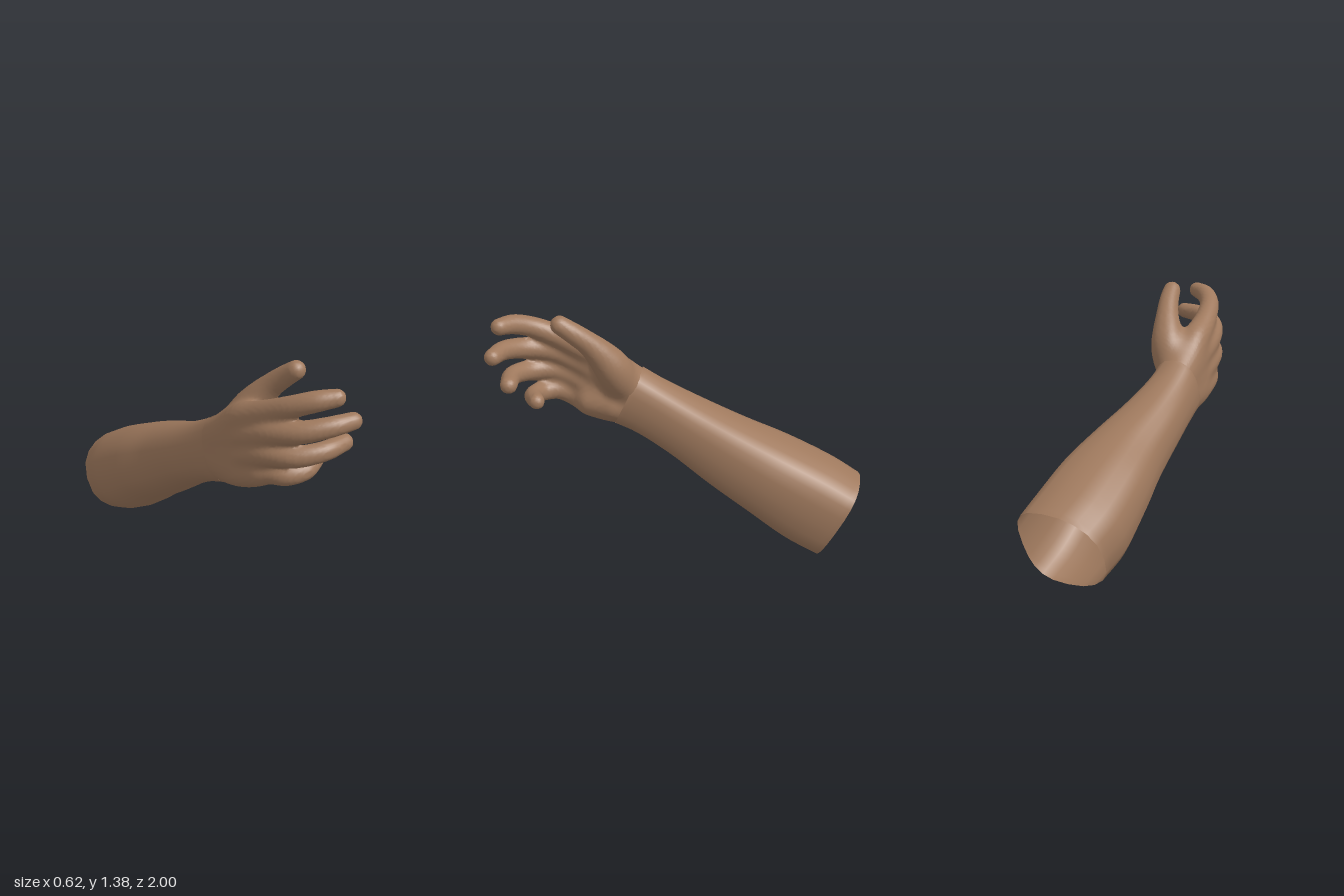
import * as THREE from 'three';

const V = (x, y, z) => new THREE.Vector3(x, y, z);

// Open tube through sections [topZ, topY, bottomZ, bottomY, xMin, xMax], flattened a little
function forearmGeometry(sections, steps = 30, sides = 20) {
  const top = new THREE.CatmullRomCurve3(sections.map((s) => V(0, s[1], s[0])));
  const bottom = new THREE.CatmullRomCurve3(sections.map((s) => V(0, s[3], s[2])));
  const width = new THREE.CatmullRomCurve3(sections.map((s, i) => V(s[4], s[5], i * 0.2)));
  const soft = (n) => Math.sign(n) * Math.abs(n) ** 0.82;
  const pos = [], idx = [];
  for (let i = 0; i <= steps; i++) {
    const t = i / steps;
    const a = top.getPoint(t), b = bottom.getPoint(t), w = width.getPoint(t);
    for (let j = 0; j < sides; j++) {
      const angle = (j / sides) * Math.PI * 2;
      const c = Math.cos(angle), s = Math.sin(angle);
      const p = b.clone().lerp(a, 0.5 + soft(s) / 2);
      // the ridge lies off centre near the elbow
      p.x = (w.x + w.y) / 2 + (soft(c) * (w.y - w.x)) / 2 + 0.045 * (1 - t) * s * s;
      pos.push(p.x, p.y, p.z);
      if (i < steps) {
        const k = (j + 1) % sides, m = i * sides + j, n = i * sides + k;
        idx.push(m, n, m + sides, n, n + sides, m + sides);
      }
    }
  }
  return makeGeometry(pos, idx);
}

function makeGeometry(pos, idx) {
  const g = new THREE.BufferGeometry();
  g.setAttribute('position', new THREE.Float32BufferAttribute(pos, 3));
  g.setIndex(idx);
  g.computeVertexNormals();
  return g;
}

// Distance to a tapering round chain through points [x, y, z, radius]
function chain(points) {
  const path = new THREE.CatmullRomCurve3(points.map((p) => V(p[0], p[1], p[2])));
  const radius = new THREE.CatmullRomCurve3(points.map((p, i) => V(p[3], i * 0.1, 0)));
  const count = (points.length - 1) * 4;
  const balls = Array.from({ length: count + 1 }, (_, i) => {
    const p = path.getPoint(i / count);
    return [p.x, p.y, p.z, radius.getPoint(i / count).x];
  });
  return (x, y, z) => {
    let best = Infinity;
    for (let i = 0; i < count; i++) {
      const a = balls[i], b = balls[i + 1];
      const dx = b[0] - a[0], dy = b[1] - a[1], dz = b[2] - a[2];
      const px = x - a[0], py = y - a[1], pz = z - a[2];
      const along = (px * dx + py * dy + pz * dz) / (dx * dx + dy * dy + dz * dz);
      const t = Math.min(1, Math.max(0, along));
      const d = Math.hypot(px - t * dx, py - t * dy, pz - t * dz) - a[3] - t * (b[3] - a[3]);
      if (d < best) best = d;
    }
    return best;
  };
}

// Union with a fillet of width k
function blend(a, b, k) {
  const h = Math.max(k - Math.abs(a - b), 0) / k;
  return Math.min(a, b) - (h * h * k) / 4;
}

// Smooth skin where the field crosses zero: one vertex per crossed cell, one quad per crossed edge
function skinOver(field, min, max, cell) {
  const n = min.map((m, d) => Math.ceil((max[d] - m) / cell) + 1);
  const step = [1, n[0], n[0] * n[1]];
  const value = new Float32Array(n[0] * n[1] * n[2]);
  const at = (d, i) => min[d] + i * cell;
  const forEachPoint = (end, visit) => {
    for (let z = 0; z < n[2] - end; z++)
      for (let y = 0; y < n[1] - end; y++)
        for (let x = 0; x < n[0] - end; x++) visit([x, y, z], x + y * step[1] + z * step[2]);
  };
  forEachPoint(0, (p, i) => { value[i] = field(at(0, p[0]), at(1, p[1]), at(2, p[2])); });

  const vertexOf = new Int32Array(value.length);
  const pos = [], idx = [];
  forEachPoint(1, (p, i) => {
    const sum = [0, 0, 0];
    let hits = 0;
    for (let d = 0; d < 3; d++) {
      const u = (d + 1) % 3, v = (d + 2) % 3;
      for (let q = 0; q < 4; q++) {
        const a = q & 1, b = q >> 1;
        const start = i + a * step[u] + b * step[v];
        const f0 = value[start], f1 = value[start + step[d]];
        if (f0 < 0 === f1 < 0) continue;
        sum[d] += f0 / (f0 - f1);
        sum[u] += a;
        sum[v] += b;
        hits++;
      }
    }
    if (!hits) return;
    vertexOf[i] = pos.length / 3;
    for (let d = 0; d < 3; d++) pos.push(at(d, p[d] + sum[d] / hits));
    for (let d = 0; d < 3; d++) {
      const inside = value[i] < 0;
      if (inside === value[i + step[d]] < 0) continue;
      const u = step[(d + 1) % 3], v = step[(d + 2) % 3];
      const [a, b, c, e] = [i, i - u, i - u - v, i - v].map((k) => vertexOf[k]);
      if (inside) idx.push(a, b, c, a, c, e);
      else idx.push(a, c, b, a, e, c);
    }
  });
  return makeGeometry(pos, idx);
}

// Each finger runs from the wrist through the palm to its tip
const FINGERS = {
  index: [[-0.075, 0.854, 0.173, 0.095], [-0.07, 0.965, 0.352, 0.098], [-0.07, 1.072, 0.47, 0.083],
    [-0.06, 1.13, 0.582, 0.07], [-0.042, 1.18, 0.68, 0.061], [0.0, 1.24, 0.8, 0.055],
    [0.07, 1.28, 0.885, 0.053], [0.152, 1.297, 0.935, 0.045]],
  middle: [[-0.075, 0.818, 0.191, 0.095], [-0.07, 0.903, 0.373, 0.098], [-0.075, 0.984, 0.489, 0.083],
    [-0.08, 1.03, 0.597, 0.07], [-0.06, 1.082, 0.72, 0.062], [0.015, 1.118, 0.853, 0.057],
    [0.13, 1.15, 0.93, 0.052], [0.245, 1.163, 0.953, 0.045]],
  ring: [[-0.075, 0.782, 0.209, 0.095], [-0.07, 0.837, 0.397, 0.098], [-0.075, 0.886, 0.511, 0.083],
    [-0.083, 0.93, 0.613, 0.07], [-0.065, 0.965, 0.715, 0.061], [0.005, 0.98, 0.827, 0.055],
    [0.13, 1.005, 0.887, 0.051], [0.262, 1.015, 0.87, 0.046]],
  little: [[-0.075, 0.746, 0.227, 0.095], [-0.07, 0.778, 0.418, 0.097], [-0.073, 0.8, 0.53, 0.082],
    [-0.073, 0.832, 0.628, 0.068], [-0.052, 0.852, 0.685, 0.059], [0.0, 0.855, 0.762, 0.053],
    [0.09, 0.872, 0.79, 0.05], [0.188, 0.89, 0.745, 0.043]],
};
const THUMB = [[-0.04, 0.9, 0.3, 0.08], [0.0, 0.97, 0.33, 0.098], [0.035, 1.05, 0.36, 0.098],
  [0.067, 1.13, 0.405, 0.082], [0.1, 1.21, 0.465, 0.064], [0.13, 1.28, 0.54, 0.056], [0.148, 1.332, 0.607, 0.05]];
const HEEL_PAD = [[-0.005, 0.8, 0.38, 0.07], [-0.015, 0.805, 0.5, 0.065]];

export function createModel() {
  const model = new THREE.Group();
  model.name = 'arm';
  const skinTone = new THREE.MeshStandardMaterial({ color: 0xa07a5e, side: THREE.DoubleSide });
  skinTone.name = 'skin';
  const add = (name, geometry) => {
    const mesh = new THREE.Mesh(geometry, skinTone);
    mesh.name = name;
    model.add(mesh);
  };

  // Forearm, open at the elbow
  add('forearm', forearmGeometry([
    [-1.0, 0.44, -0.78, 0.005, -0.295, 0.188],
    [-0.85, 0.52, -0.6, 0.09, -0.312, 0.19],
    [-0.6, 0.635, -0.38, 0.245, -0.295, 0.185],
    [-0.35, 0.735, -0.16, 0.385, -0.255, 0.145],
    [-0.1, 0.835, 0.06, 0.53, -0.235, 0.095],
    [0.1, 0.93, 0.25, 0.63, -0.212, 0.062],
    [0.22, 1.0, 0.37, 0.675, -0.195, 0.06],
  ]));

  // Hand: fingers, thumb and heel of the palm melted into one skin
  const fingers = Object.values(FINGERS).map(chain);
  const thumb = chain(THUMB), heelPad = chain(HEEL_PAD);
  const handField = (x, y, z) => {
    const palm = fingers.reduce((d, f) => blend(d, f(x, y, z), 0.035), 1);
    return blend(blend(palm, heelPad(x, y, z), 0.06), thumb(x, y, z), 0.05);
  };
  add('hand', skinOver(handField, [-0.25, 0.62, 0.04], [0.36, 1.44, 1.05], 0.0135));

  return model;
}
